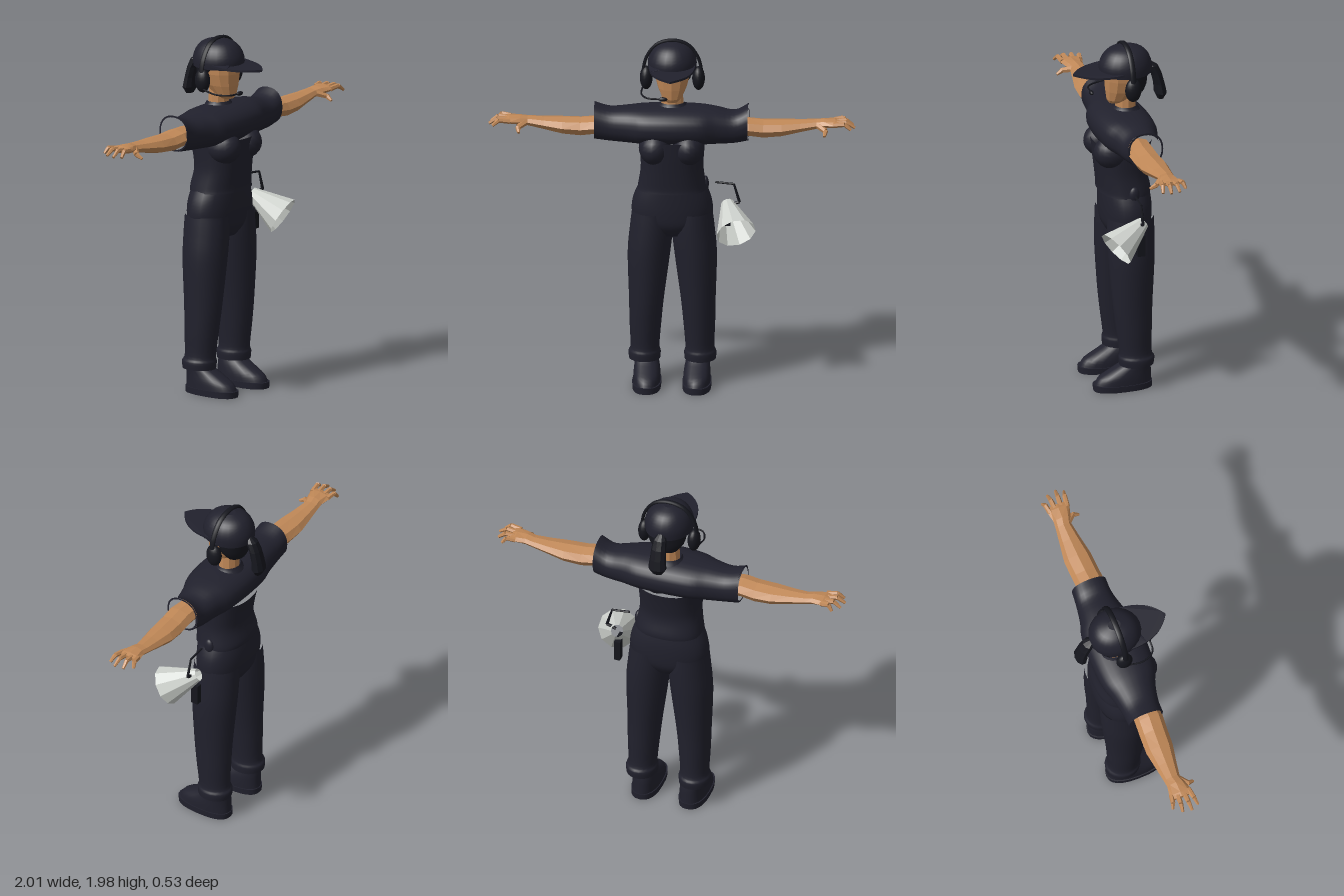
import * as THREE from 'three';

const std = (name, color, side = THREE.FrontSide) => {
  const m = new THREE.MeshStandardMaterial({ color, side });
  m.name = name;
  return m;
};

// Rings are [t, c1, c2, r1, r2]; axis 'y' stacks x/z ovals, axis 'x' stacks y/z ovals.
function loft(rings, { axis = 'y', n = 20, steps = 4, power = 2, flat = false, capStart = false, capEnd = false } = {}) {
  let rows = rings;
  if (steps > 1) {
    rows = [];
    const last = rings.length - 1;
    for (let i = 0; i <= last * steps; i++) {
      const k = Math.min(Math.floor(i / steps), last - 1), f = i / steps - k;
      const at = (j) => rings[Math.max(0, Math.min(last, j))];
      rows.push(rings[0].map((_, c) => {
        const a = at(k - 1)[c], b = at(k)[c], d = at(k + 1)[c], e = at(k + 2)[c];
        return b + 0.5 * f * (d - a + f * (2 * a - 5 * b + 4 * d - e + f * (3 * (b - d) + e - a)));
      }));
    }
  }
  const pos = [], idx = [];
  const oval = (v) => Math.sign(v) * Math.abs(v) ** (2 / power);
  const put = (t, p, q) => (axis === 'y' ? pos.push(p, t, q) : pos.push(t, p, q));
  const sign = axis === 'y' ? 1 : -1;
  const addRow = ([t, c1, c2, r1, r2]) => {
    for (let j = 0; j < n; j++) {
      const a = (j / n) * Math.PI * 2;
      put(t, c1 + r1 * oval(Math.cos(a)), c2 + sign * r2 * oval(Math.sin(a)));
    }
  };
  rows.forEach(addRow);
  for (let i = 0; i < rows.length - 1; i++) {
    for (let j = 0; j < n; j++) {
      const a = i * n + j, b = i * n + ((j + 1) % n);
      idx.push(a, a + n, b, b, a + n, b + n);
    }
  }
  const cap = (row, end) => {
    const s = pos.length / 3;
    addRow(row);
    put(row[0], row[1], row[2]);
    for (let j = 0; j < n; j++) {
      const a = s + j, b = s + ((j + 1) % n);
      if (end) idx.push(a, s + n, b);
      else idx.push(a, b, s + n);
    }
  };
  if (capStart) cap(rows[0], false);
  if (capEnd) cap(rows[rows.length - 1], true);
  let g = new THREE.BufferGeometry();
  g.setAttribute('position', new THREE.Float32BufferAttribute(pos, 3));
  g.setIndex(idx);
  if (flat) g = g.toNonIndexed();
  g.computeVertexNormals();
  return g;
}

// Tapered rod between two points
function rod(a, b, r1, r2, n = 6, open = false) {
  const p = new THREE.Vector3(...a), q = new THREE.Vector3(...b), d = q.clone().sub(p);
  let g = new THREE.CylinderGeometry(r2, r1, d.length(), n, 1, open);
  g.applyQuaternion(new THREE.Quaternion().setFromUnitVectors(new THREE.Vector3(0, 1, 0), d.normalize()));
  g.translate(...p.add(q).multiplyScalar(0.5).toArray());
  g = g.toNonIndexed();
  g.computeVertexNormals();
  return g;
}

const ball = (c, r) => new THREE.SphereGeometry(1, 18, 12).scale(...r).translate(...c);

// Copy reflected to the other side, with corner order restored
function mirrored(geo) {
  const g = geo.index ? geo.toNonIndexed() : geo.clone();
  for (const key of ['position', 'normal']) {
    const at = g.attributes[key];
    for (let i = 0; i < at.count; i += 3) {
      const v = [0, 2, 1].map((k) => [-at.getX(i + k), at.getY(i + k), at.getZ(i + k)]);
      v.forEach((p, k) => at.setXYZ(i + k, ...p));
    }
  }
  return g;
}

export function createModel() {
  const navy = std('navy cloth', 0x21212d);
  const dark = std('black', 0x15161d);
  const skin = std('skin', 0xc08857);
  const grey = std('light grey', 0xcdd1cc, THREE.DoubleSide);
  const model = new THREE.Group();
  model.name = 'figure';
  const add = (name, geo, mat) => {
    const m = new THREE.Mesh(geo, mat);
    m.name = name;
    model.add(m);
  };
  const pair = (name, geo, mat) => {
    add('left' + name, geo, mat);
    add('right' + name, mirrored(geo), mat);
  };

  // Shirt: body, shoulder tube open at both sleeves, rolled cuffs and collar
  add('shirtBody', loft([
    [1.13, 0, -0.02, 0.19, 0.142], [1.16, 0, -0.02, 0.185, 0.142], [1.25, 0, -0.005, 0.172, 0.138],
    [1.34, 0, -0.005, 0.174, 0.15], [1.43, 0, -0.01, 0.18, 0.165]], { n: 28, power: 2.3 }), navy);
  add('shirtShoulders', loft([
    [-0.425, 1.512, -0.02, 0.1, 0.1], [-0.34, 1.495, -0.02, 0.092, 0.105], [-0.24, 1.495, -0.018, 0.098, 0.125],
    [-0.15, 1.498, -0.014, 0.103, 0.155], [0, 1.5, -0.012, 0.106, 0.165], [0.15, 1.498, -0.014, 0.103, 0.155],
    [0.24, 1.493, -0.018, 0.098, 0.125], [0.34, 1.486, -0.02, 0.087, 0.105], [0.415, 1.512, -0.02, 0.1, 0.1]],
  { axis: 'x', n: 28, power: 2.3 }), navy);
  pair('SleeveCuff', loft([[0.417, 1.512, -0.02, 0.1, 0.1], [0.417, 1.512, -0.02, 0.09, 0.09]],
    { axis: 'x', n: 28, steps: 1, power: 2.3 }), navy);
  pair('Chest', ball([0.092, 1.385, 0.065], [0.088, 0.095, 0.108]), navy);
  add('collar', loft([[1.575, 0, -0.035, 0.1, 0.09], [1.605, 0, -0.035, 0.076, 0.07],
    [1.62, 0, -0.035, 0.068, 0.062]], { n: 20 }), navy);
  add('hipPouch', ball([0.18, 1.15, -0.03], [0.02, 0.045, 0.03]), navy);

  // Trousers
  add('hips', loft([
    [0.87, 0, -0.03, 0.1, 0.09], [0.93, 0, -0.03, 0.2, 0.125], [1, 0, -0.03, 0.222, 0.135],
    [1.08, 0, -0.028, 0.212, 0.136], [1.16, 0, -0.022, 0.178, 0.13]],
  { n: 28, power: 2.2, capStart: true, capEnd: true }), navy);
  pair('TrouserLeg', loft([
    [0.14, 0.152, -0.05, 0.086, 0.096], [0.18, 0.152, -0.05, 0.088, 0.1], [0.215, 0.15, -0.045, 0.079, 0.09],
    [0.35, 0.147, -0.038, 0.087, 0.1], [0.5, 0.141, -0.032, 0.096, 0.111], [0.75, 0.128, -0.03, 0.116, 0.128],
    [0.9, 0.114, -0.03, 0.118, 0.132], [1, 0.108, -0.03, 0.112, 0.13]],
  { n: 22, capStart: true }), navy);

  // Shoes
  pair('ShoeSole', loft([[0, 0.137, 0.025, 0.078, 0.165], [0.035, 0.137, 0.025, 0.08, 0.167]],
    { n: 24, steps: 1, power: 2.5, capStart: true, capEnd: true }), navy);
  pair('ShoeUpper', loft([
    [0.035, 0.137, 0.022, 0.075, 0.16], [0.07, 0.137, 0.012, 0.074, 0.148], [0.11, 0.138, -0.022, 0.069, 0.112],
    [0.145, 0.142, -0.05, 0.064, 0.08], [0.18, 0.145, -0.055, 0.06, 0.07]], { n: 22, steps: 3, power: 2.3 }), navy);

  // Bare arms and hands
  pair('Arm', loft([
    [0.3, 1.49, -0.01, 0.05, 0.07], [0.42, 1.49, -0.003, 0.049, 0.079], [0.5, 1.48, -0.008, 0.051, 0.078],
    [0.6, 1.484, -0.013, 0.046, 0.077], [0.7, 1.495, -0.016, 0.034, 0.06], [0.79, 1.506, -0.018, 0.026, 0.046],
    [0.83, 1.512, -0.01, 0.026, 0.05], [0.89, 1.517, -0.008, 0.02, 0.064], [0.915, 1.518, -0.008, 0.012, 0.062]],
  { axis: 'x', n: 8, steps: 1, flat: true, capEnd: true }), skin);
  const fingers = [[-0.058, -0.078, 0.955], [-0.025, -0.033, 0.99], [0.01, 0.018, 1], [0.042, 0.06, 0.98]];
  for (const [z0, z1, tip] of fingers) {
    const mid = [(0.89 + tip) / 2 + 0.01, 1.526, (z0 + z1) / 2];
    pair('FingerBase', rod([0.885, 1.518, z0], mid, 0.015, 0.013), skin);
    pair('FingerTip', rod(mid, [tip, 1.497, z1], 0.013, 0.008), skin);
  }
  pair('ThumbBase', rod([0.8, 1.505, 0.012], [0.84, 1.488, 0.055], 0.019, 0.015), skin);
  pair('ThumbTip', rod([0.84, 1.488, 0.055], [0.835, 1.468, 0.09], 0.015, 0.008), skin);

  // Head and hair
  add('neck', loft([[1.59, 0, -0.036, 0.062, 0.056], [1.71, 0, -0.035, 0.056, 0.054]],
    { n: 10, steps: 1, flat: true }), skin);
  add('head', loft([
    [1.64, 0, 0.025, 0.032, 0.035], [1.66, 0, 0.008, 0.055, 0.064], [1.715, 0, -0.015, 0.08, 0.095],
    [1.78, 0, -0.028, 0.096, 0.113], [1.86, 0, -0.03, 0.1, 0.115]],
  { n: 12, steps: 1, flat: true, power: 2.2, capStart: true }), skin);
  add('hair', loft([
    [1.7, 0, -0.085, 0.065, 0.05], [1.74, 0, -0.078, 0.096, 0.072], [1.79, 0, -0.07, 0.11, 0.085],
    [1.85, 0, -0.05, 0.118, 0.115]], { n: 16, steps: 2, capStart: true }), dark);
  add('ponytail', loft([
    [1.63, 0, -0.235, 0.028, 0.016], [1.665, 0, -0.236, 0.052, 0.034], [1.72, 0, -0.228, 0.046, 0.03],
    [1.78, 0, -0.212, 0.042, 0.03], [1.83, 0, -0.188, 0.036, 0.032], [1.855, 0, -0.168, 0.015, 0.015]],
  { n: 9, steps: 1, flat: true, capStart: true, capEnd: true }), dark);

  // Cap with curved peak
  add('capCrown', loft([
    [1.815, 0, -0.035, 0.132, 0.145], [1.865, 0, -0.035, 0.132, 0.146], [1.915, 0, -0.037, 0.112, 0.124],
    [1.948, 0, -0.038, 0.077, 0.088], [1.965, 0, -0.038, 0.03, 0.035]],
  { n: 24, steps: 3, capStart: true, capEnd: true }), navy);
  const peak = new THREE.Shape();
  peak.moveTo(-0.127, 0);
  peak.bezierCurveTo(-0.125, 0.14, -0.085, 0.21, 0, 0.265);
  peak.bezierCurveTo(0.085, 0.21, 0.125, 0.14, 0.127, 0);
  peak.quadraticCurveTo(0, 0.14, -0.127, 0);
  const brim = new THREE.ExtrudeGeometry(peak, { depth: 0.012, bevelEnabled: false, curveSegments: 10 });
  brim.rotateX(Math.PI / 2);
  const bp = brim.attributes.position;
  for (let i = 0; i < bp.count; i++) {
    const x = bp.getX(i), z = bp.getZ(i);
    bp.setY(i, bp.getY(i) + 1.858 - 0.1 * z - 0.9 * x * x);
  }
  brim.computeVertexNormals();
  add('capPeak', brim, navy);

  // Headset
  const arc = [[-0.165, 1.76], [-0.143, 1.87], [-0.085, 1.948], [0, 1.972], [0.085, 1.948], [0.143, 1.87], [0.165, 1.76]];
  const band = new THREE.TubeGeometry(new THREE.CatmullRomCurve3(
    arc.map(([x, y]) => new THREE.Vector3(x, y, 0))), 32, 0.009, 8).scale(1, 1, 1.8).translate(0, 0, -0.033);
  add('headband', band, dark);
  pair('EarCup', ball([0.143, 1.755, -0.036], [0.035, 0.067, 0.046]), dark);
  const boom = [[-0.16, 1.71, -0.02], [-0.165, 1.695, 0.07], [-0.13, 1.692, 0.135], [-0.05, 1.69, 0.145]];
  add('microphoneBoom', new THREE.TubeGeometry(new THREE.CatmullRomCurve3(
    boom.map((p) => new THREE.Vector3(...p))), 20, 0.005, 6), dark);
  add('microphone', ball([-0.045, 1.69, 0.145], [0.025, 0.012, 0.012]), dark);

  // Megaphone hanging beside the hip
  add('megaphoneHorn', rod([0.3, 1.035, -0.045], [0.355, 0.92, 0.13], 0.034, 0.11, 10, true), grey);
  add('megaphoneHandle', new THREE.BoxGeometry(0.035, 0.12, 0.042).translate(0.3, 0.9, -0.028), dark);
  add('megaphoneTrigger', new THREE.BoxGeometry(0.03, 0.022, 0.07).translate(0.305, 0.945, 0.02), dark);
  add('strapTop', rod([0.235, 1.162, -0.02], [0.337, 1.152, -0.02], 0.006, 0.006), dark);
  add('strapSide', rod([0.337, 1.152, -0.02], [0.367, 1.05, -0.02], 0.006, 0.009), dark);
  add('strapClip', rod([0.367, 1.05, -0.02], [0.315, 1.03, -0.02], 0.009, 0.009), dark);
  return model;
}
